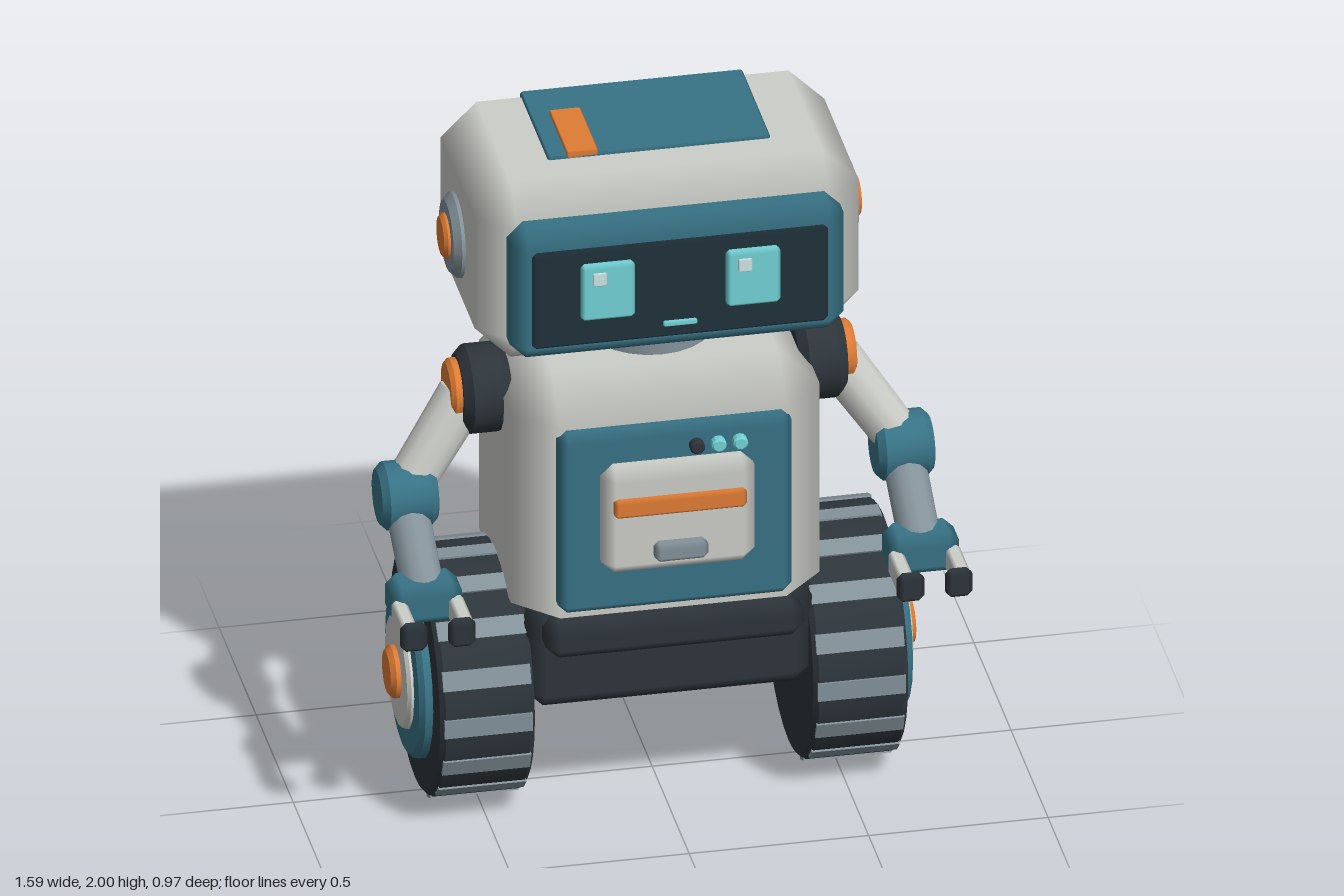
import * as THREE from 'three';
import { ConvexGeometry } from 'three/addons/geometries/ConvexGeometry.js';
import { toCreasedNormals } from 'three/addons/utils/BufferGeometryUtils.js';

const mat = (color) => new THREE.MeshStandardMaterial({ color });
const white = mat(0xcccec9), teal = mat(0x387386), dark = mat(0x2d353b), screenMat = mat(0x20323b);
const orange = mat(0xe07c34), grey = mat(0x84929a), cyan = mat(0x72d2d6), glint = mat(0xcfe6e6);
const ZC = -0.04; // z of the body's centre line

function add(parent, name, geometry, material, x = 0, y = 0, z = 0) {
  const mesh = new THREE.Mesh(geometry, material);
  mesh.name = name;
  mesh.position.set(x, y, z);
  parent.add(mesh);
  return mesh;
}

// Box with chamfered edges: flat faces, normals blended over the bevels.
// bottom is the height of the lower bevel.
function chamferBox(w, h, d, b, bottom = b) {
  const half = [w / 2, h / 2, d / 2], points = [];
  for (let axis = 0; axis < 3; axis++)
    for (const sx of [-1, 1]) for (const sy of [-1, 1]) for (const sz of [-1, 1]) {
      const inset = [b, sy < 0 ? bottom : b, b];
      const p = [sx, sy, sz].map((s, i) => s * (half[i] - (i === axis ? 0 : inset[i])));
      points.push(new THREE.Vector3(...p));
    }
  const geo = new ConvexGeometry(points);
  const pos = geo.attributes.position, nor = geo.attributes.normal;
  for (let i = 0; i < pos.count; i++) {
    const p = [pos.getX(i), pos.getY(i), pos.getZ(i)];
    nor.setXYZ(i, ...p.map((v, k) => (half[k] - Math.abs(v) < 1e-5 ? Math.sign(v) : 0)));
  }
  return geo;
}

// Chamfered box given by its limits on each axis.
function block(parent, name, material, [x0, x1], [y0, y1], [z0, z1], b, bottom) {
  return add(parent, name, chamferBox(x1 - x0, y1 - y0, z1 - z0, b, bottom), material,
    (x0 + x1) / 2, (y0 + y1) / 2, (z0 + z1) / 2);
}

// Chamfered cylinder along y.
function drum(r, h, b, sides) {
  const profile = [[0, -h / 2], [r - b, -h / 2], [r, -h / 2 + b], [r, h / 2 - b], [r - b, h / 2], [0, h / 2]]
    .map(([x, y]) => new THREE.Vector2(x, y));
  return toCreasedNormals(new THREE.LatheGeometry(profile, sides), 0.5);
}

// Disc along x, from x0 to x1, on the side s.
function disc(parent, name, material, s, r, x0, x1, y, z, b, sides) {
  const geo = drum(r, x1 - x0, b, sides).rotateZ(-Math.PI / 2);
  return add(parent, name, geo, material, s * (x0 + x1) / 2, y, z);
}

// Tapered limb between two points.
function limb(parent, name, material, from, to, r0, r1) {
  const a = new THREE.Vector3(...from), c = new THREE.Vector3(...to);
  const dir = c.clone().sub(a);
  const geo = new THREE.CylinderGeometry(r1, r0, dir.length(), 12);
  const mesh = add(parent, name, geo, material);
  mesh.position.copy(a).add(c).multiplyScalar(0.5);
  mesh.quaternion.setFromUnitVectors(new THREE.Vector3(0, 1, 0), dir.normalize());
}

function group(parent, name) {
  const g = new THREE.Group();
  g.name = name;
  parent.add(g);
  return g;
}

function buildHead(root) {
  const head = group(root, 'head');
  block(head, 'headShell', white, [-0.535, 0.535], [1.435, 1.98], [-0.365, 0.295], 0.1);
  block(head, 'faceFrame', teal, [-0.465, 0.465], [1.505, 1.905], [0.24, 0.375], 0.045);
  block(head, 'faceScreen', screenMat, [-0.42, 0.42], [1.545, 1.86], [0.34, 0.387], 0.02);
  for (const x of [-0.205, 0.2]) {
    block(head, 'eye', cyan, [x - 0.075, x + 0.075], [1.64, 1.81], [0.37, 0.41], 0.01);
    block(head, 'eyeGlint', glint, [x - 0.045, x - 0.005], [1.75, 1.79], [0.4, 0.416], 0.004);
  }
  block(head, 'mouth', cyan, [-0.05, 0.045], [1.594, 1.608], [0.38, 0.4], 0.004);
  block(head, 'topPanel', teal, [-0.31, 0.31], [1.96, 1.99], [-0.285, 0.097], 0.006);
  block(head, 'topStripe', orange, [-0.257, -0.17], [1.97, 2], [-0.147, 0.097], 0.004);
  for (const s of [-1, 1]) {
    disc(head, 'earDisc', grey, s, 0.12, 0.5, 0.565, 1.7, ZC, 0.02, 20);
    disc(head, 'earCap', orange, s, 0.064, 0.54, 0.582, 1.7, ZC, 0.01, 16);
  }
}

function buildBody(root) {
  const body = group(root, 'body');
  add(body, 'neck', new THREE.CylinderGeometry(0.175, 0.175, 0.14, 24), grey, 0, 1.395, ZC);
  block(body, 'torso', white, [-0.43, 0.43], [0.635, 1.36], [-0.365, 0.29], 0.115, 0.02);
  block(body, 'base', dark, [-0.4, 0.4], [0.35, 0.66], [-0.345, 0.27], 0.05);
  block(body, 'frontBumper', dark, [-0.36, 0.36], [0.545, 0.65], [0.2, 0.345], 0.035);

  // chest
  block(body, 'chestPanel', teal, [-0.325, 0.325], [0.68, 1.24], [0.25, 0.33], 0.025);
  block(body, 'chestPlate', white, [-0.215, 0.212], [0.82, 1.148], [0.3, 0.39], 0.035);
  block(body, 'chestBar', orange, [-0.187, 0.182], [1.01, 1.065], [0.37, 0.408], 0.01);
  block(body, 'chestLatch', grey, [-0.077, 0.072], [0.87, 0.924], [0.37, 0.425], 0.014);
  [dark, cyan, cyan].forEach((m, i) => {
    disc(body, 'chestButton', m, 1, 0.021, -0.02, 0.02, 1.18, 0.335, 0.005, 12)
      .rotation.y = Math.PI / 2;
    body.children.at(-1).position.x = 0.055 + i * 0.06;
  });

  // back pack
  block(body, 'backPanel', teal, [-0.293, 0.293], [0.67, 1.17], [-0.45, -0.34], 0.04);
  for (const y of [1.01, 0.927, 0.844])
    block(body, 'backVent', dark, [-0.183, 0.183], [y - 0.014, y + 0.014], [-0.468, -0.44], 0.006);
  block(body, 'backBar', orange, [-0.115, 0.115], [0.725, 0.772], [-0.483, -0.44], 0.01);
}

function buildArm(root, s) {
  const arm = group(root, s > 0 ? 'leftArm' : 'rightArm');
  const side = (a, b) => (s > 0 ? [a, b] : [-b, -a]);
  disc(arm, 'shoulder', dark, s, 0.125, 0.4, 0.535, 1.215, ZC, 0.025, 16);
  disc(arm, 'shoulderCap', orange, s, 0.086, 0.52, 0.565, 1.22, ZC, 0.012, 16);
  limb(arm, 'upperArm', white, [s * 0.52, 1.2, -0.035], [s * 0.685, 0.96, 0.015], 0.072, 0.066);
  disc(arm, 'elbow', teal, s, 0.096, 0.612, 0.77, 0.94, 0.02, 0.02, 16);
  limb(arm, 'forearm', grey, [s * 0.692, 0.92, 0.02], [s * 0.692, 0.765, 0.27], 0.06, 0.06);
  block(arm, 'wrist', teal, side(0.593, 0.792), [0.695, 0.815], [0.2, 0.335], 0.03);
  for (const f of [-1, 1]) {
    const finger = (a, b) => side(...[0.692 + f * a, 0.692 + f * b].sort((p, q) => p - q));
    block(arm, 'finger', white, finger(0.057, 0.1), [0.708, 0.778], [0.31, 0.465], 0.01);
    block(arm, 'fingerTip', dark, finger(0.03, 0.104), [0.7, 0.782], [0.438, 0.482], 0.015);
  }
}

function buildWheel(root, s) {
  const wheel = group(root, s > 0 ? 'leftWheel' : 'rightWheel');
  const y = 0.355, R = 0.352;
  disc(wheel, 'tyre', dark, s, R, 0.388, 0.652, y, ZC, 0.014, 32);
  // tread bars set into the rim
  for (let i = 0; i < 16; i++) {
    const a = (i / 16) * Math.PI * 2;
    const bar = add(wheel, 'treadBar', new THREE.BoxGeometry(0.245, 0.055, 0.02), grey,
      s * 0.52, y + Math.sin(a) * (R - 0.007), ZC + Math.cos(a) * (R - 0.007));
    bar.rotation.x = -a;
  }
  disc(wheel, 'hubRing', teal, s, 0.245, 0.63, 0.688, y, ZC, 0.015, 20);
  disc(wheel, 'hubPlate', white, s, 0.163, 0.66, 0.705, y, ZC, 0.01, 14);
  disc(wheel, 'hubCap', orange, s, 0.075, 0.68, 0.732, y, ZC, 0.014, 14);
}

export function createModel() {
  const root = new THREE.Group();
  root.name = 'robot';
  buildHead(root);
  buildBody(root);
  for (const s of [-1, 1]) {
    buildArm(root, s);
    buildWheel(root, s);
  }
  return root;
}
